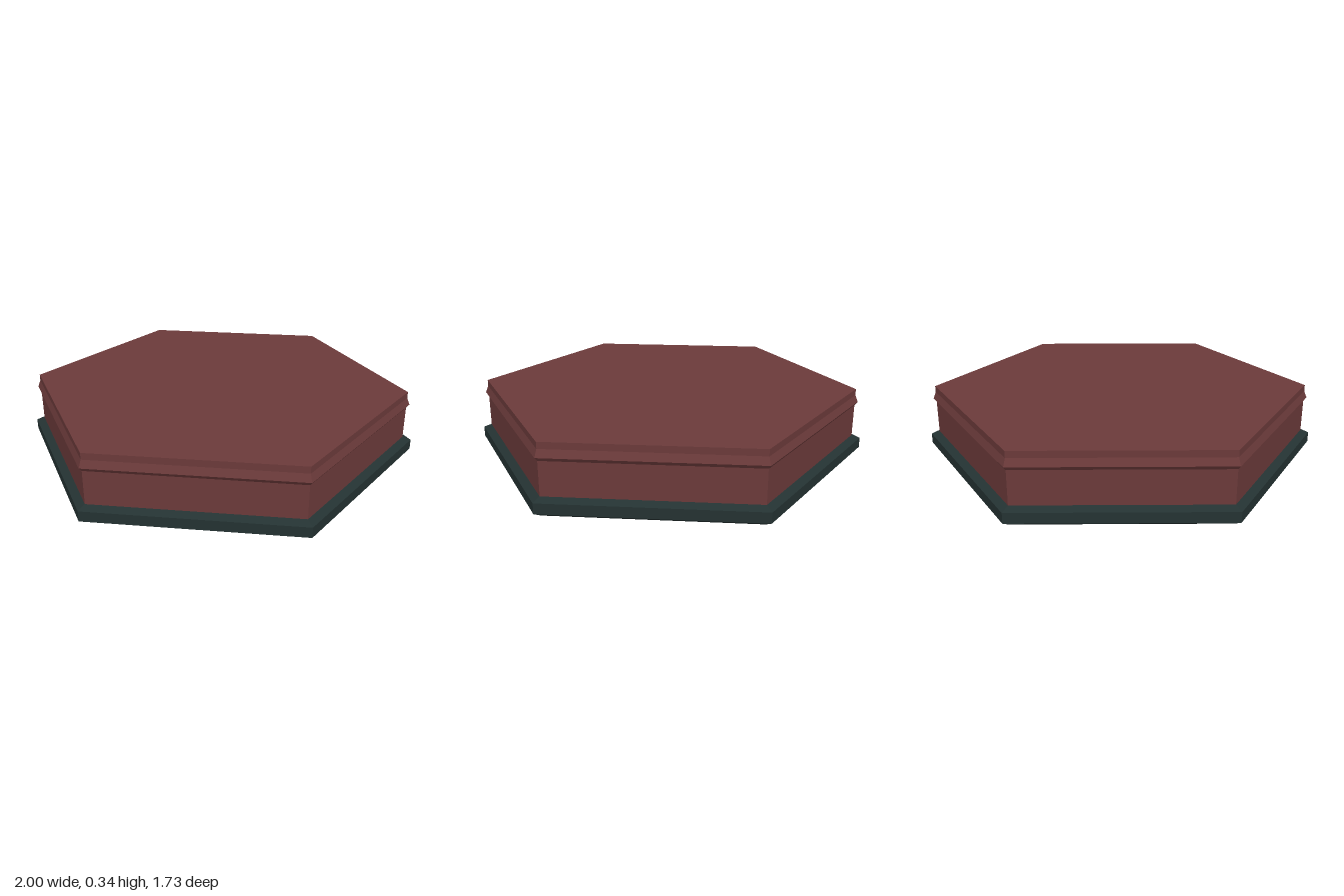
import * as THREE from 'three';

// Six-sided solid from a bottom-to-top [radius, y] profile, corners on the x axis, flat faces
function hexSolid(name, profile, material) {
  const points = profile.map(([r, y]) => new THREE.Vector2(r, y));
  const geometry = new THREE.LatheGeometry(points, 6, Math.PI / 2).toNonIndexed();
  geometry.computeVertexNormals();
  const mesh = new THREE.Mesh(geometry, material);
  mesh.name = name;
  return mesh;
}

export function createModel() {
  const darkSlate = new THREE.MeshStandardMaterial({ color: 0x243232 });
  darkSlate.name = 'darkSlate';
  const redBrown = new THREE.MeshStandardMaterial({ color: 0x6b3a3a });
  redBrown.name = 'redBrown';

  const model = new THREE.Group();
  model.name = 'hexTile';

  // Chamfered foot plate
  model.add(hexSolid('base', [
    [0, 0], [0.955, 0], [1, 0.026], [1, 0.077], [0.957, 0.092], [0, 0.092],
  ], darkSlate));

  // Block with a pointed bead running round it below the top edge
  model.add(hexSolid('block', [
    [0, 0.09], [0.957, 0.09], [0.957, 0.256], [0.972, 0.274],
    [0.957, 0.31], [0.957, 0.342], [0, 0.342],
  ], redBrown));

  return model;
}
